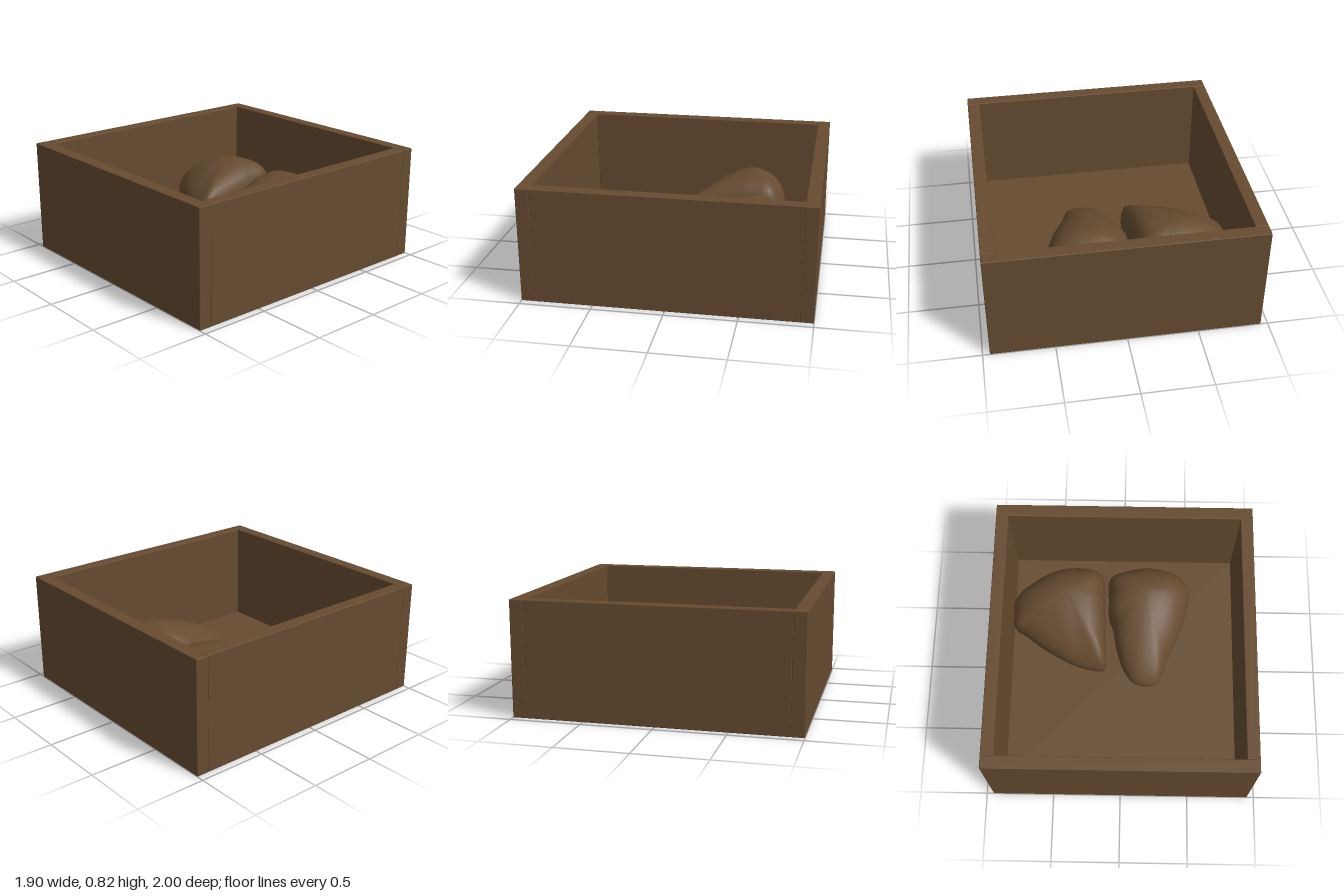
import * as THREE from 'three';
import { RoundedBoxGeometry } from 'three/addons/geometries/RoundedBoxGeometry.js';

const brown = new THREE.MeshStandardMaterial({ color: 0x664b30 });
brown.name = 'brown';

const WALL_H = 0.82, FLOOR_Y = 0.07;

function board(name, w, h, d, x, y, z) {
  const mesh = new THREE.Mesh(new RoundedBoxGeometry(w, h, d, 2, 0.005), brown);
  mesh.name = name;
  mesh.position.set(x, y, z);
  return mesh;
}

// Rounded lump: a plan outline [x, z] shrinks toward its peak as it rises
const PROFILE = [ // [outline scale, height]
  [0.8, 0], [0.92, 0.05], [0.98, 0.12], [1, 0.2], [0.985, 0.26], [0.94, 0.32], [0.86, 0.37],
  [0.75, 0.41], [0.6, 0.445], [0.43, 0.468], [0.22, 0.482],
];

function lump(name, outline, peakX, peakZ) {
  const n = 72;
  const curve = new THREE.CatmullRomCurve3(
    outline.map(([x, z]) => new THREE.Vector3(x, 0, z)), true, 'centripetal');
  const plan = curve.getSpacedPoints(n).slice(0, n);
  const pos = [], index = [];

  for (const [s, h] of PROFILE) {
    for (const p of plan) {
      // the sides where the two lumps meet stay steep
      const steep = Math.exp(-(((p.x + 0.12) / 0.1) ** 2));
      const k = s + (1 - s) * s * 0.6 * steep;
      const x = peakX + (p.x - peakX) * k, z = peakZ + (p.z - peakZ) * k;
      // height falls off toward the front and the far end
      const fall = 1 - 0.7 * Math.max(0, z - peakZ) ** 1.3 - 0.5 * Math.max(0, peakX - x) ** 1.5;
      pos.push(x, FLOOR_Y + h * fall, z);
    }
  }
  const top = pos.length / 3;
  pos.push(peakX, FLOOR_Y + 0.485, peakZ, peakX, FLOOR_Y, peakZ);

  const rings = PROFILE.length;
  for (let i = 0; i < n; i++) {
    const j = (i + 1) % n;
    for (let r = 0; r < rings - 1; r++) {
      const a = r * n + i, b = r * n + j;
      index.push(a, a + n, b, b, a + n, b + n);
    }
    index.push((rings - 1) * n + i, top, (rings - 1) * n + j); // crown
    index.push(i, j, top + 1); // underside
  }
  const geo = new THREE.BufferGeometry();
  geo.setAttribute('position', new THREE.Float32BufferAttribute(pos, 3));
  geo.setIndex(index);
  geo.computeVertexNormals();
  const mesh = new THREE.Mesh(geo, brown);
  mesh.name = name;
  return mesh;
}

export function createModel() {
  const model = new THREE.Group();
  model.name = 'openBoxWithStones';

  // Crate: front and back boards overlap the ends of the side boards
  for (const s of [1, -1]) {
    model.add(board(s > 0 ? 'frontWall' : 'backWall', 1.9, WALL_H, 0.093, 0, WALL_H / 2, s * 0.9535));
    model.add(board(s > 0 ? 'leftWall' : 'rightWall', 0.09, WALL_H, 1.814, s * 0.905, WALL_H / 2, 0));
  }
  model.add(board('floor', 1.72, FLOOR_Y, 1.814, 0, FLOOR_Y / 2, 0));

  // Two stones; outlines run clockwise seen from above
  model.add(lump('rightStone', [
    [-0.84, -0.46], [-0.71, -0.58], [-0.55, -0.67], [-0.34, -0.705], [-0.21, -0.68], [-0.15, -0.62],
    [-0.14, -0.45], [-0.13, -0.13], [-0.127, 0.06], [-0.14, 0.075], [-0.26, 0.07], [-0.39, 0.03],
    [-0.61, -0.09], [-0.76, -0.2], [-0.835, -0.25], [-0.845, -0.36],
  ], -0.42, -0.43));
  model.add(lump('leftStone', [
    [-0.11, -0.615], [0.03, -0.685], [0.18, -0.71], [0.35, -0.685], [0.46, -0.63], [0.505, -0.53],
    [0.49, -0.39], [0.43, -0.2], [0.35, -0.02], [0.28, 0.165], [0.24, 0.19], [0.15, 0.197],
    [0.07, 0.16], [0, 0.055], [-0.05, -0.1], [-0.08, -0.26], [-0.11, -0.34], [-0.113, -0.48],
  ], 0.17, -0.45));

  return model;
}
